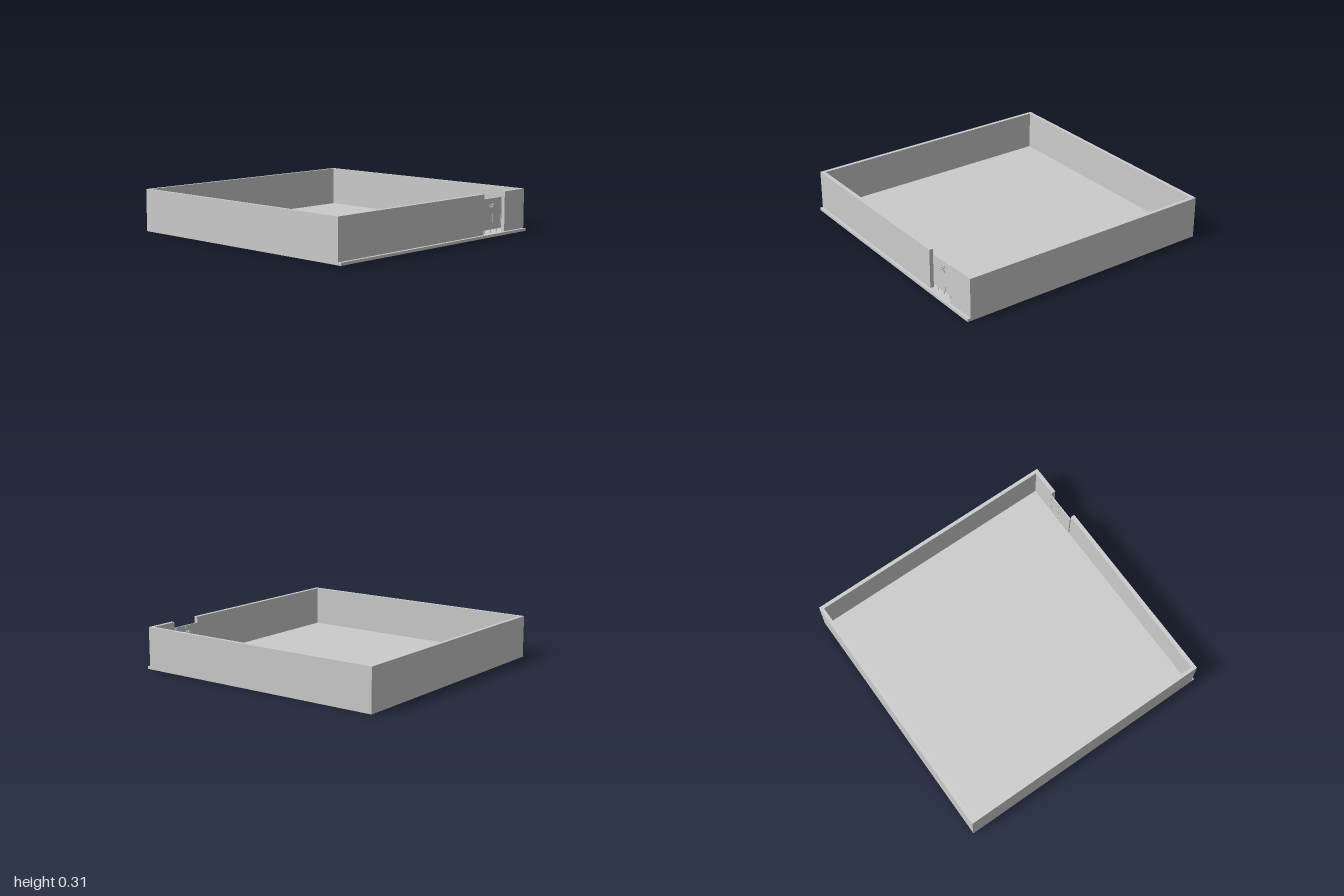
import * as THREE from 'three';

const material = new THREE.MeshStandardMaterial({ color: 0xcccccc, flatShading: true });

// Box given by its minimum and maximum on each axis
function block(name, [x0, x1], [y0, y1], [z0, z1]) {
  const geometry = new THREE.BoxGeometry(x1 - x0, y1 - y0, z1 - z0);
  const mesh = new THREE.Mesh(geometry, material);
  mesh.name = name;
  mesh.position.set((x0 + x1) / 2, (y0 + y1) / 2, (z0 + z1) / 2);
  return mesh;
}

export function createModel() {
  const model = new THREE.Group();
  model.name = 'walledYard';

  const outer = 0.987, inner = 0.96;       // half widths of the enclosure
  const top = 0.315, floorTop = 0.02;
  const wallY = [floorTop, top];
  const doorX = [0.51, 0.752];
  const frontZ = [0.947, 0.977];

  // Floor slab, running out under the front wall as a low kerb
  model.add(block('floorSlab', [-outer, outer], [0, floorTop], [-1, 1]));

  // Side walls
  for (const side of [-1, 1]) {
    const xs = [side * inner, side * outer].sort((a, b) => a - b);
    model.add(block(side > 0 ? 'leftWall' : 'rightWall', xs, wallY, [-1, frontZ[1]]));
  }

  // Back wall between the side walls
  model.add(block('backWall', [-inner, inner], wallY, [-1, -0.973]));

  // Front wall, broken by the gateway
  model.add(block('frontWallLong', [-inner, doorX[0]], wallY, frontZ));
  model.add(block('frontWallShort', [doorX[1], inner], wallY, frontZ));

  // Gate set at the inner face of the wall, lower than the wall and clear of the floor
  const gate = new THREE.Group();
  gate.name = 'gate';
  const gateY = [0.045, 0.273], gateZ = [0.938, 0.949];
  const leaves = [[doorX[0], 0.649], [0.651, 0.739], [0.741, doorX[1]]];
  leaves.forEach((xs) => gate.add(block('gateLeaf', xs, gateY, gateZ)));

  // Small feet under the gate
  for (const x of [0.56, 0.625, 0.7]) {
    gate.add(block('gateFoot', [x - 0.003, x + 0.003], [floorTop, gateY[0]], [0.941, 0.946]));
  }

  // Latch on both faces: a bolt across two brackets
  for (const z of [gateZ[0] - 0.004, gateZ[1] + 0.004]) {
    gate.add(block('latchBolt', [0.602, 0.66], [0.218, 0.223], [z - 0.005, z + 0.005]));
    for (const x of [0.622, 0.64]) {
      gate.add(block('latchBracket', [x - 0.003, x + 0.003], [0.208, 0.233], [z - 0.006, z + 0.006]));
    }
  }
  model.add(gate);

  return model;
}
